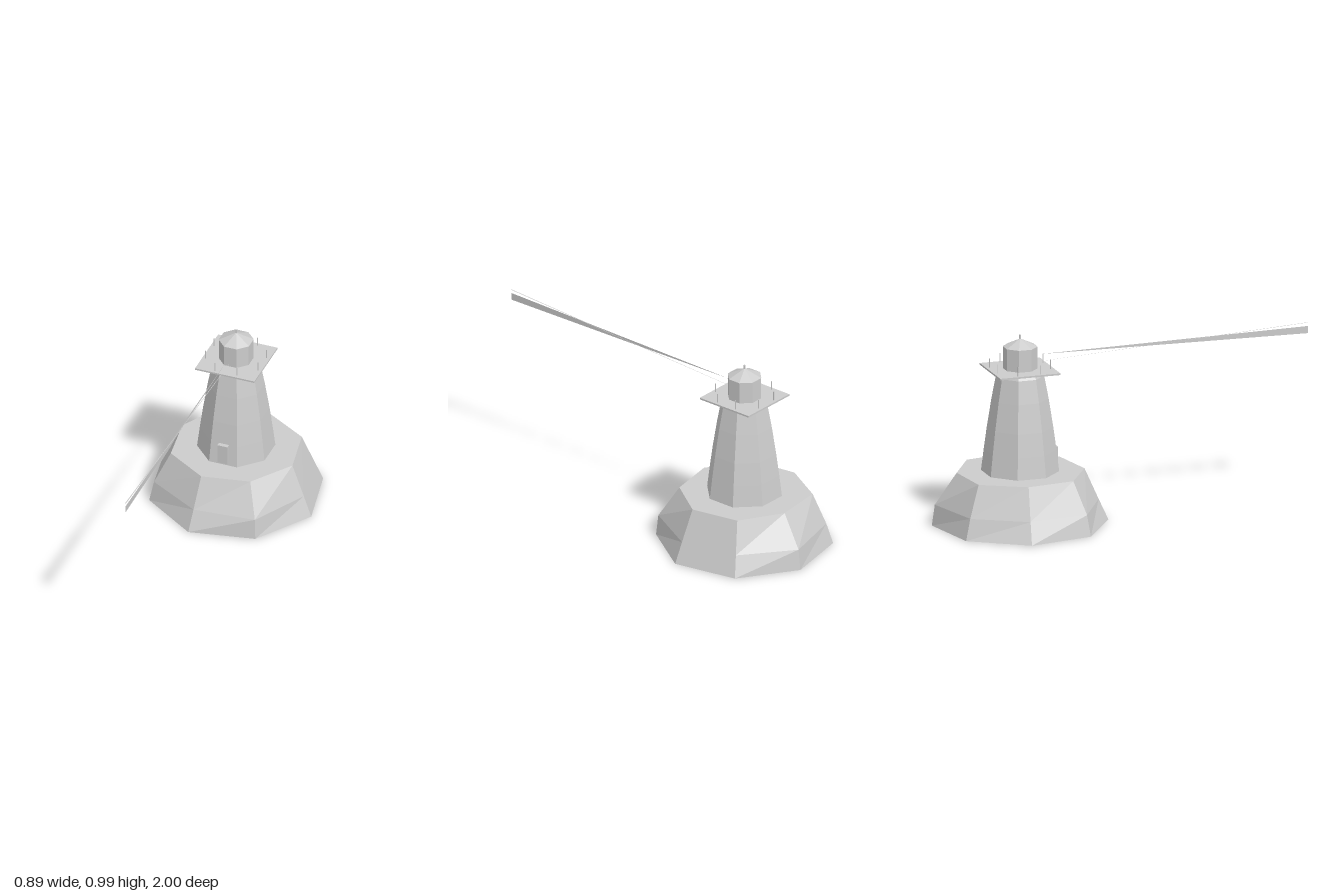
import * as THREE from 'three';

const CZ = -0.555; // tower axis
const APOTHEM = Math.cos(Math.PI / 8);

export function createModel() {
  const model = new THREE.Group();
  model.name = 'lighthouse';
  const grey = new THREE.MeshStandardMaterial({ color: 0xcccccc, side: THREE.DoubleSide, flatShading: true });
  grey.name = 'paleGrey';

  const add = (name, geometry, x = 0, y = 0, z = CZ) => {
    const mesh = new THREE.Mesh(geometry, grey);
    mesh.name = name;
    mesh.position.set(x, y, z);
    model.add(mesh);
    return mesh;
  };

  // Eight-sided lathe with flats facing the axes; profile is [apothem, y]
  const octagon = (profile) => new THREE.LatheGeometry(
    profile.map(([a, y]) => new THREE.Vector2(a / APOTHEM, y)), 8, Math.PI / 8);

  const triangles = (points) => {
    const g = new THREE.BufferGeometry().setFromPoints(points);
    g.computeVertexNormals();
    return g;
  };

  // Rough rock plinth, open underneath, with slightly uneven rings
  const rings = [
    [0, Array(8).fill(0.455)],
    [0.11, [0.41, 0.443, 0.405, 0.43, 0.4, 0.42, 0.44, 0.41]],
    [0.275, [0.341, 0.335, 0.332, 0.342, 0.327, 0.35, 0.327, 0.343]],
  ].map(([y, radii]) => radii.map((r, i) => {
    const a = Math.PI / 16 + i * Math.PI / 4;
    return new THREE.Vector3(r * Math.cos(a), y, r * Math.sin(a));
  }));
  const rock = [];
  for (let i = 0; i < 8; i++) {
    const j = (i + 1) % 8;
    for (let k = 0; k < 2; k++) {
      const [a, b] = [rings[k], rings[k + 1]];
      rock.push(a[i], b[i], a[j], a[j], b[i], b[j]);
    }
    rock.push(new THREE.Vector3(0, 0.275, 0), rings[2][j], rings[2][i]);
  }
  add('rockBase', triangles(rock));

  // Tapering tower and its door
  add('tower', octagon([[0.185, 0.275], [0.172, 0.39], [0.157, 0.51], [0.135, 0.66], [0.114, 0.78], [0.099, 0.809]]));
  add('door', new THREE.BoxGeometry(0.055, 0.106, 0.03), 0, 0.34, -0.376);

  // Square gallery with two posts along each side
  add('galleryDeck', new THREE.BoxGeometry(0.325, 0.009, 0.325), 0, 0.8125);
  const post = new THREE.BoxGeometry(0.004, 0.05, 0.004);
  for (const s of [-1, 1]) {
    for (const t of [-1, 1]) {
      add('railPost', post, s * 0.144, 0.84, CZ + t * 0.06);
      add('railPost', post, t * 0.06, 0.84, CZ + s * 0.144);
    }
  }

  // Lantern room, roof and spike
  add('lanternRoom', octagon([[0.082, 0.815], [0.082, 0.933]]));
  add('lanternRoof', octagon([[0, 0.932], [0.083, 0.933], [0.0001, 0.975]]));
  add('roofSpike', new THREE.BoxGeometry(0.007, 0.03, 0.007), 0, 0.979);

  // Light beam: an upright wedge crossed by a narrow sloping strip
  const v = (x, y, z) => new THREE.Vector3(x, y, z);
  add('lightBeam', triangles([
    v(0, 0.882, -0.45), v(0, 0.864, 1), v(0, 0.902, 1),
  ]), 0, 0, 0);
  const [n, f] = [0.001, 0.003];
  add('beamStrip', triangles([
    v(-n, 0.844, -0.45), v(-f, 0.921, 1), v(f, 0.921, 1),
    v(-n, 0.844, -0.45), v(f, 0.921, 1), v(n, 0.844, -0.45),
  ]), 0, 0, 0);

  return model;
}
